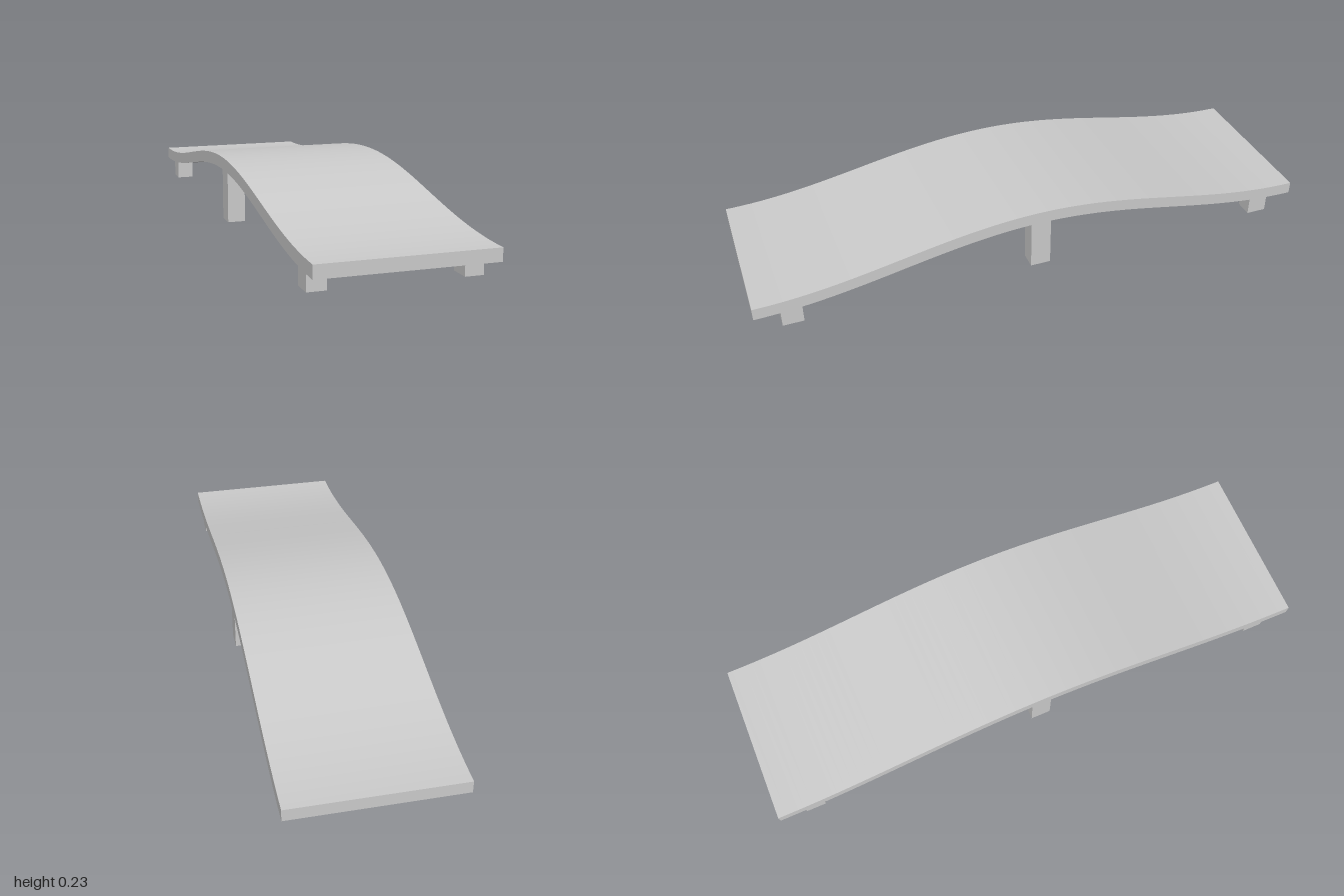
import * as THREE from 'three';

const HALF_WIDTH = 0.288;
const THICKNESS = 0.043;

// Underside height of the wavy deck at depth z
const undersideAt = (z) => 0.126 + 0.063 * Math.cos(Math.PI * z);

export function createModel() {
  const model = new THREE.Group();
  model.name = 'archedBridge';
  const grey = new THREE.MeshStandardMaterial({ color: 0xcccccc });
  grey.name = 'light grey';

  // Deck: a long slab bent along a cosine wave
  const deckGeometry = new THREE.BoxGeometry(HALF_WIDTH * 2, THICKNESS, 2, 1, 1, 64);
  const pos = deckGeometry.attributes.position;
  for (let i = 0; i < pos.count; i++) {
    pos.setY(i, pos.getY(i) + THICKNESS / 2 + undersideAt(pos.getZ(i)));
  }
  deckGeometry.computeVertexNormals();
  const deck = new THREE.Mesh(deckGeometry, grey);
  deck.name = 'deck';
  model.add(deck);

  // Legs: three mirrored pairs, each reaching just into the underside
  const rows = [['frontLeg', 0.875], ['middleLeg', 0], ['backLeg', -0.875]];
  for (const [name, z] of rows) {
    const height = undersideAt(z) + 0.005;
    for (const side of [-1, 1]) {
      const leg = new THREE.Mesh(new THREE.BoxGeometry(0.062, height, 0.072), grey);
      leg.position.set(side * 0.246, height / 2, z);
      leg.name = name + (side > 0 ? 'Left' : 'Right');
      model.add(leg);
    }
  }
  return model;
}
